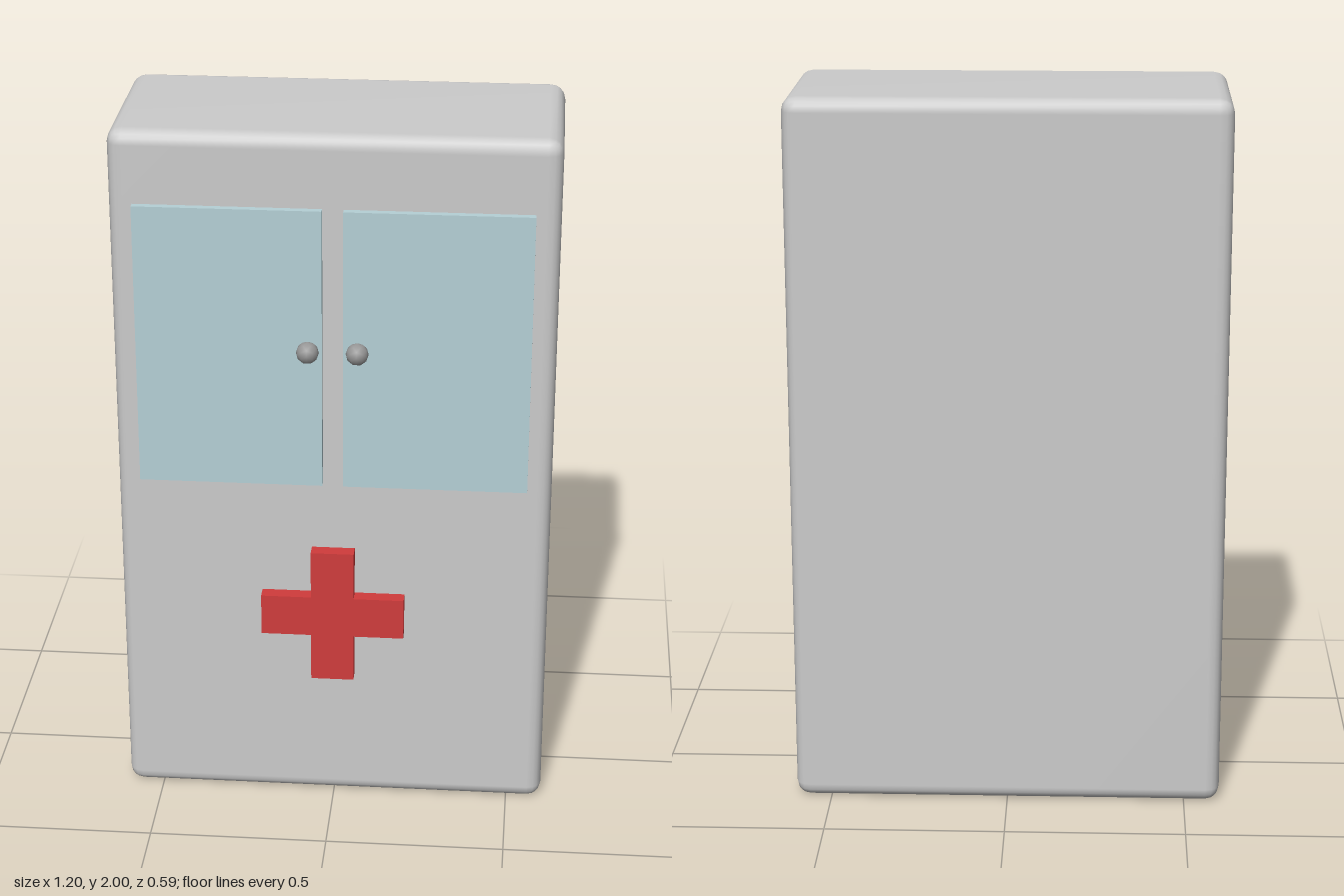
import * as THREE from 'three';
import { mergeVertices } from 'three/addons/utils/BufferGeometryUtils.js';
import { RoundedBoxGeometry } from 'three/addons/geometries/RoundedBoxGeometry.js';

const material = (color) => new THREE.MeshStandardMaterial({ color });

// Weld shared corners so the shading runs smoothly over the edges
function smooth(geometry) {
  geometry.deleteAttribute('normal');
  geometry.deleteAttribute('uv');
  const welded = mergeVertices(geometry, 1e-4);
  welded.computeVertexNormals();
  return welded;
}

export function createModel() {
  const group = new THREE.Group();
  const add = (name, geometry, mat, x, y, z) => {
    const mesh = new THREE.Mesh(geometry, mat);
    mesh.name = name;
    mesh.position.set(x, y, z);
    group.add(mesh);
  };

  // Cabinet body with softly rounded edges
  const body = smooth(new RoundedBoxGeometry(1.2, 2, 0.53, 2, 0.04));
  add('cabinetBody', body, material(0xcccccc), 0, 1, -0.028);

  // Pair of glass doors with small faceted knobs
  const glass = material(0xb5d0d6);
  const metal = material(0x999999);
  const door = new THREE.BoxGeometry(0.505, 0.8, 0.04);
  const knob = smooth(new THREE.IcosahedronGeometry(0.031, 1));
  for (const [side, s] of [['left', 1], ['right', -1]]) {
    add(side + 'Door', door, glass, s * 0.281, 1.4, 0.237);
    add(side + 'Knob', knob, metal, s * 0.067, 1.4, 0.264);
  }

  // Raised cross emblem cut as one outline
  const a = 0.06, b = 0.2;
  const outline = [
    [-a, -b], [a, -b], [a, -a], [b, -a], [b, a], [a, a],
    [a, b], [-a, b], [-a, a], [-b, a], [-b, -a], [-a, -a],
  ].map(([x, y]) => new THREE.Vector2(x, y));
  const cross = new THREE.ExtrudeGeometry(new THREE.Shape(outline), { depth: 0.06, bevelEnabled: false });
  add('cross', cross, material(0xd03c3c), 0, 0.6, 0.217);

  return group;
}
